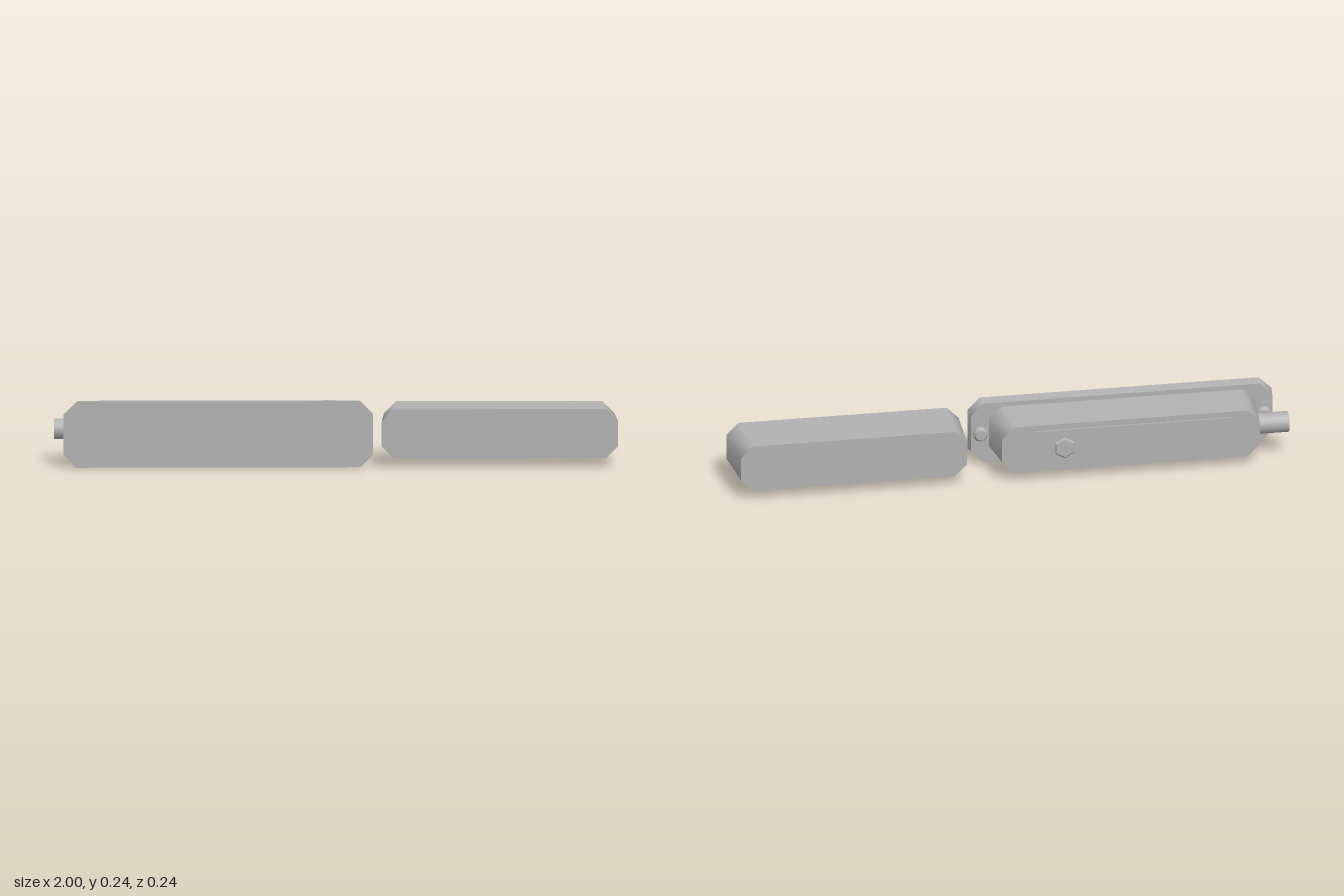
import * as THREE from 'three';

// Chamfered outline, counter-clockwise seen from +z; box = [x0, x1, y0, y1]
function outline([x0, x1, y0, y1], c) {
  return [
    [x0 + c, y0], [x1 - c, y0], [x1, y0 + c], [x1, y1 - c],
    [x1 - c, y1], [x0 + c, y1], [x0, y1 - c], [x0, y0 + c],
  ];
}

// Tapered block lofted from a front outline to a back outline, smooth sides and flat caps
function taperedBlock(front, zFront, back, zBack, c) {
  const f = outline(front, c), b = outline(back, c), n = f.length;
  const pos = [], idx = [];
  for (let copy = 0; copy < 2; copy++) {
    f.forEach(([x, y]) => pos.push(x, y, zFront));
    b.forEach(([x, y]) => pos.push(x, y, zBack));
  }
  for (let i = 0; i < n; i++) {
    const j = (i + 1) % n;
    idx.push(i, n + i, n + j, i, n + j, j);
  }
  for (let i = 1; i < n - 1; i++) {
    idx.push(2 * n, 2 * n + i, 2 * n + i + 1);
    idx.push(3 * n, 3 * n + i + 1, 3 * n + i);
  }
  const g = new THREE.BufferGeometry();
  g.setAttribute('position', new THREE.Float32BufferAttribute(pos, 3));
  g.setIndex(idx);
  g.computeVertexNormals();
  return g;
}

// Round or hexagonal stud pointing backwards from z0 to z1
function stud(rBase, rTip, z0, z1, sides, x, y) {
  let g = new THREE.CylinderGeometry(rTip, rBase, z0 - z1, sides);
  g.rotateX(-Math.PI / 2);
  g.translate(x, y, (z0 + z1) / 2);
  if (sides <= 6) {
    g = g.toNonIndexed();
    g.computeVertexNormals();
  }
  return g;
}

export function createModel() {
  const group = new THREE.Group();
  const grey = new THREE.MeshStandardMaterial({ color: 0xb0b0b0 });
  grey.name = 'grey';
  const add = (name, geometry) => {
    const mesh = new THREE.Mesh(geometry, grey);
    mesh.name = name;
    group.add(mesh);
  };
  const midY = 0.119;

  // Main housing: flange and tapered rear body
  add('flange', taperedBlock([-0.967, 0.13, 0, 0.237], 0.12, [-0.962, 0.125, 0.005, 0.232], 0.074, 0.045));
  add('housing', taperedBlock([-0.898, 0.061, 0.023, 0.215], 0.074, [-0.884, 0.046, 0.031, 0.207], -0.102, 0.045));

  // Back cover with a hexagonal plug
  const cover = new THREE.BoxGeometry(0.71, 0.135, 0.01);
  cover.translate(-0.425, midY, -0.104);
  add('backCover', cover);
  add('plugBase', stud(0.04, 0.04, -0.107, -0.112, 6, -0.178, midY));
  add('plugTip', stud(0.04, 0.034, -0.112, -0.118, 6, -0.178, midY));

  // Cable gland at the right end
  const gland = new THREE.CylinderGeometry(0.037, 0.037, 0.13, 16);
  gland.rotateZ(Math.PI / 2);
  gland.translate(-0.935, midY, -0.02);
  add('cableGland', gland);

  // Fixing nuts on the back of the flange
  for (const x of [-0.93, 0.093]) {
    add('flangeNut', stud(0.027, 0.027, 0.075, 0.062, 12, x, midY));
    add('flangeNutTip', stud(0.027, 0.019, 0.062, 0.05, 12, x, midY));
  }

  // Separate tapered block on the left
  add('separateBlock', taperedBlock([0.161, 1, 0.031, 0.207], 0.12, [0.172, 0.988, 0.034, 0.204], -0.096, 0.043));

  return group;
}
